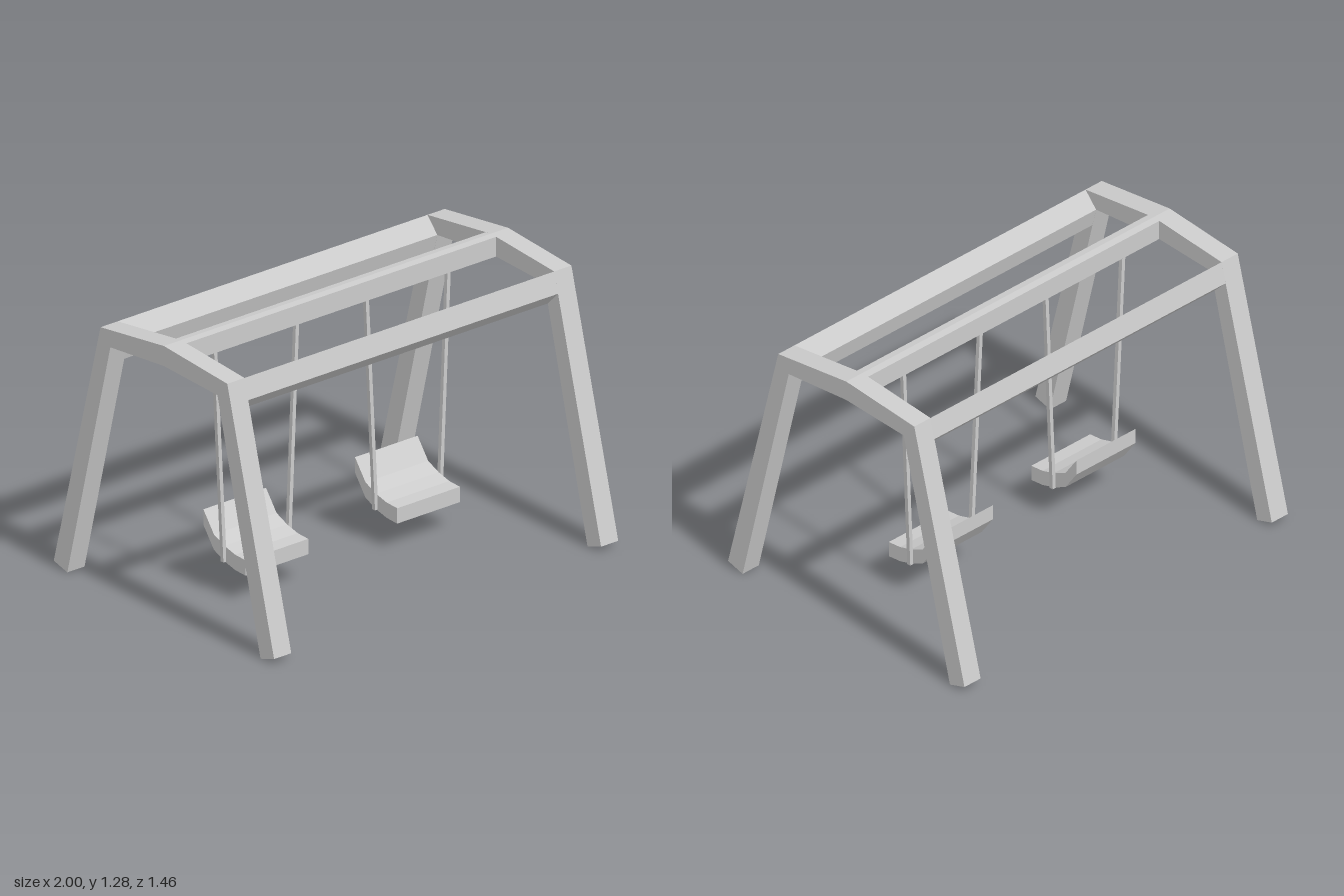
import * as THREE from 'three';

const material = new THREE.MeshStandardMaterial({ color: 0xcccccc, flatShading: true });

// Extrudes a side profile of [z, y] points from x0 to x1
function profileBar(name, points, x0, x1) {
  const shape = new THREE.Shape(points.map(([z, y]) => new THREE.Vector2(z, y)));
  const geometry = new THREE.ExtrudeGeometry(shape, { depth: x1 - x0, bevelEnabled: false });
  geometry.rotateY(-Math.PI / 2).translate(x1, 0, 0);
  const mesh = new THREE.Mesh(geometry, material);
  mesh.name = name;
  return mesh;
}

// Square bar sheared sideways so that its ends stay level
function hanger(name, xTop, yTop, xBottom, yBottom, width) {
  const geometry = new THREE.BoxGeometry(width, yTop - yBottom, width);
  const p = geometry.attributes.position;
  for (let i = 0; i < p.count; i++) {
    p.setX(i, p.getX(i) + (p.getY(i) > 0 ? xTop : xBottom));
  }
  geometry.translate(0, (yTop + yBottom) / 2, 0);
  geometry.computeVertexNormals();
  const mesh = new THREE.Mesh(geometry, material);
  mesh.name = name;
  return mesh;
}

export function createModel() {
  const group = new THREE.Group();
  group.name = 'swingSet';

  // End frames: two splayed legs joined by a shallow gable
  const half = [[0.64, 0], [0.73, 0.027], [0.42, 1.235]];
  const frame = [
    ...half, [0, 1.28],
    ...half.map(([z, y]) => [-z, y]).reverse(),
    [-0.355, 1.16], [0, 1.185], [0.355, 1.16],
  ];
  group.add(profileBar('leftFrame', frame, 0.9, 1));
  group.add(profileBar('rightFrame', frame, -1, -0.9));

  // Side rails follow the leg slope, cut along the mitre line
  const rail = [[0.42, 1.235], [0.355, 1.16], [0.378, 1.07], [0.445, 1.137]];
  group.add(profileBar('frontRail', rail, -0.9, 0.9));
  group.add(profileBar('backRail', rail.map(([z, y]) => [-z, y]), -0.9, 0.9));

  // Ridge beam
  const ridge = [
    [0.035, 1.183], [0.035, 1.276], [0, 1.28],
    [-0.035, 1.276], [-0.035, 1.183], [0, 1.185],
  ];
  group.add(profileBar('ridgeBeam', ridge, -0.9, 0.9));

  // Swings: curved seat of constant vertical thickness on two bars
  const seatTop = [[0.14, 0.208], [0.07, 0.213], [0, 0.232], [-0.07, 0.264], [-0.14, 0.361]];
  const seatBottom = seatTop.map(([z, y]) => [z, y - 0.073]).reverse();
  [['rightSwing', -0.466], ['leftSwing', 0.415]].forEach(([name, x]) => {
    const swing = new THREE.Group();
    swing.name = name;
    swing.position.x = x;
    swing.add(profileBar('seat', [...seatTop, ...seatBottom], -0.182, 0.182));
    swing.add(hanger('rightHanger', -0.242, 1.19, -0.187, 0.16, 0.019));
    swing.add(hanger('leftHanger', 0.235, 1.19, 0.189, 0.16, 0.019));
    group.add(swing);
  });

  return group;
}
